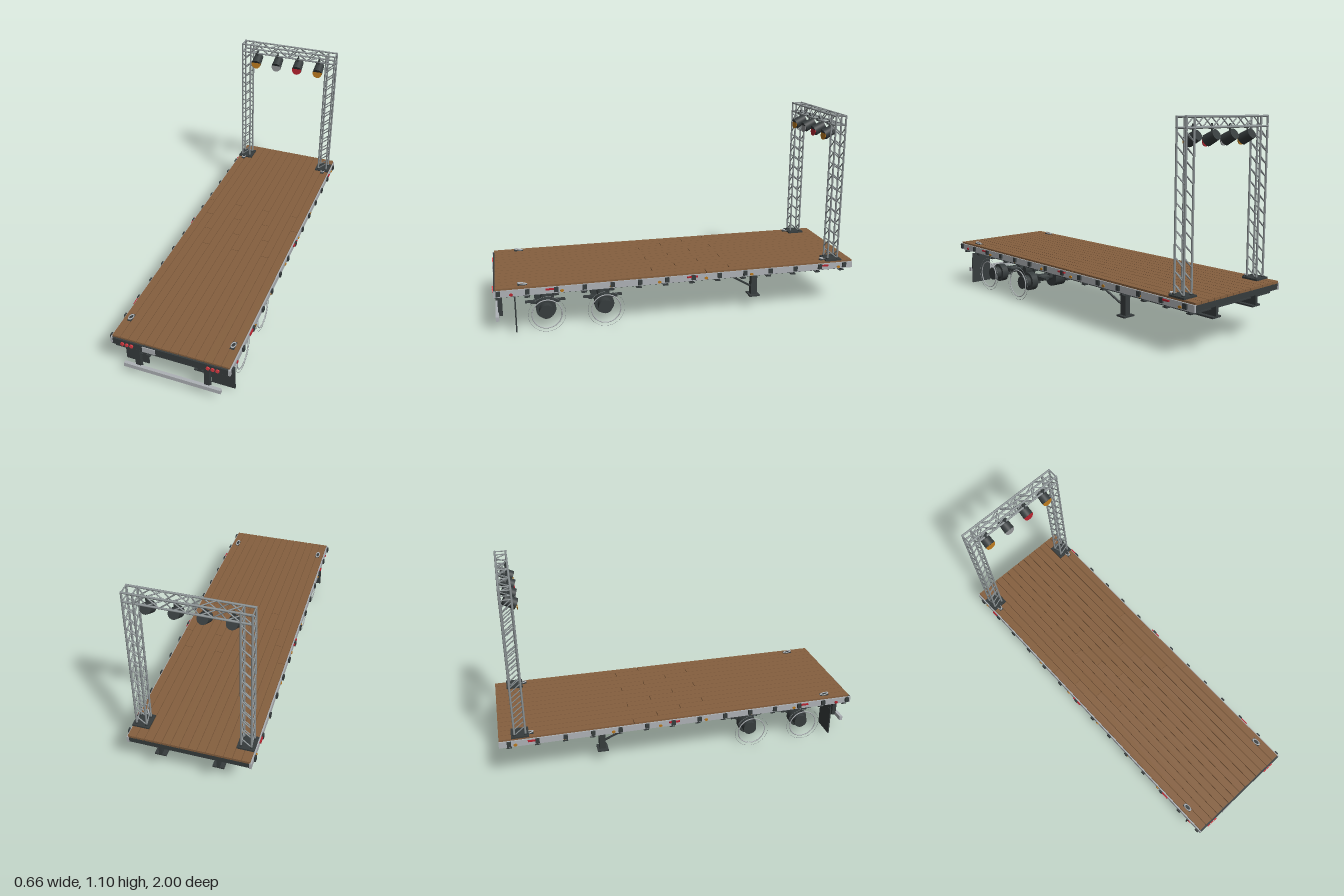
import * as THREE from 'three';

const mat = (name, color, extra = {}) => Object.assign(new THREE.MeshStandardMaterial({ color, ...extra }), { name });

export function createModel() {
  const M = {
    wood: mat('deck wood', 0x86603f),
    dark: mat('dark steel', 0x363c3d),
    silver: mat('rail aluminium', 0xaeb2b6),
    truss: mat('truss metal', 0x8d9496),
    red: mat('red lamp', 0xb4222e),
    tail: mat('tail light red', 0xdb3c44),
    amber: mat('amber lamp', 0xb8781e),
    clear: mat('clear lens', 0x8f9193),
  };
  const root = new THREE.Group();
  root.name = 'stageTrailer';
  const group = (name, parent = root) => {
    const g = new THREE.Group();
    g.name = name;
    parent.add(g);
    return g;
  };
  const add = (parent, name, geo, m, x = 0, y = 0, z = 0) => {
    const mesh = new THREE.Mesh(geo, m);
    mesh.name = name;
    mesh.position.set(x, y, z);
    parent.add(mesh);
    return mesh;
  };
  // box from min/max ranges
  const box = (p, name, m, x0, x1, y0, y1, z0, z1) => add(p, name,
    new THREE.BoxGeometry(x1 - x0, y1 - y0, z1 - z0), m, (x0 + x1) / 2, (y0 + y1) / 2, (z0 + z1) / 2);
  // round bar between two points
  const bar = (p, name, m, a, b, r, n = 8) => {
    const A = new THREE.Vector3(...a), B = new THREE.Vector3(...b);
    const d = B.clone().sub(A);
    const mesh = add(p, name, new THREE.CylinderGeometry(r, r, d.length(), n), m);
    mesh.position.copy(A).add(B).multiplyScalar(0.5);
    mesh.quaternion.setFromUnitVectors(new THREE.Vector3(0, 1, 0), d.normalize());
    return mesh;
  };
  const sides = [-1, 1];

  // Plank deck with staggered butt joints
  const deck = group('deck');
  const N = 14, W = 0.63 / N, gap = 0.0015;
  for (let i = 0; i < N; i++) {
    const x = -0.315 + i * W, joint = -0.28 + 0.142 * (i % 4);
    box(deck, 'plank', M.wood, x + gap, x + W - gap, 0.262, 0.275, -0.998, joint - gap);
    box(deck, 'plank', M.wood, x + gap, x + W - gap, 0.262, 0.275, joint + gap, 0.985);
  }
  box(deck, 'underlay', M.wood, -0.312, 0.312, 0.25, 0.26, -0.99, 0.98);

  // Chassis: I-beams, crossmembers, side rails
  const chassis = group('chassis');
  const stations = Array.from({ length: 14 }, (_, i) => 0.97 - 0.1475 * i);
  for (const s of sides) {
    const x = s * 0.15;
    box(chassis, 'beamWeb', M.dark, x - 0.008, x + 0.008, 0.18, 0.245, -0.99, 0.97);
    box(chassis, 'beamFlange', M.dark, x - 0.03, x + 0.03, 0.172, 0.18, -0.99, 0.97);
    box(chassis, 'beamFlange', M.dark, x - 0.03, x + 0.03, 0.24, 0.248, -0.99, 0.97);
    const r = s * 0.315;
    box(chassis, 'sideRail', M.silver, r - 0.006, r + 0.006, 0.23, 0.265, -1, 0.995);
    for (const z of stations) {
      box(chassis, 'stakePocket', M.dark, s * 0.324 - 0.007, s * 0.324 + 0.007, 0.238, 0.264, z - 0.011, z + 0.011);
    }
    // side markers
    for (let i = 0; i < 8; i++) {
      const m = add(chassis, 'sideMarker', new THREE.CylinderGeometry(0.007, 0.007, 0.006, 14), i ? M.amber : M.red, s * 0.323, 0.241, 0.905 - 0.26 * i);
      m.rotation.z = Math.PI / 2;
      m.scale.z = 1.4;
    }
    for (const z of [0.7, -0.057, -0.82]) {
      box(chassis, 'redStrap', M.red, s * 0.324 - 0.005, s * 0.324 + 0.005, 0.251, 0.259, z - 0.03, z + 0.03);
    }
  }
  for (const z of stations) {
    box(chassis, 'crossmember', M.dark, -0.3, 0.3, 0.21, 0.246, z - 0.005, z + 0.005);
    box(chassis, 'crossmemberFlange', M.dark, -0.3, 0.3, 0.208, 0.214, z - 0.014, z + 0.014);
  }
  box(chassis, 'noseBeam', M.dark, -0.309, 0.309, 0.232, 0.262, -0.997, -0.98);

  // Tail: rear beam, lights, plate, bumper, mud flaps
  const tail = group('tail');
  box(tail, 'rearBeam', M.dark, -0.315, 0.315, 0.227, 0.265, 0.975, 0.994);
  box(tail, 'plate', M.silver, -0.145, -0.075, 0.229, 0.262, 0.994, 0.998);
  for (const s of sides) {
    for (const x of [0.205, 0.23, 0.255]) {
      const l = add(tail, 'tailLight', new THREE.CylinderGeometry(0.01, 0.01, 0.006, 20), M.tail, s * x, 0.243, 0.997);
      l.rotation.x = Math.PI / 2;
    }
    box(tail, 'bumperPost', M.dark, s * 0.188 - 0.014, s * 0.188 + 0.014, 0.078, 0.23, 0.953, 0.977);
    box(tail, 'mudFlap', M.dark, s * 0.24 - 0.065, s * 0.24 + 0.065, 0.022, 0.184, 0.883, 0.89);
    box(tail, 'flapHanger', M.dark, s * 0.24 - 0.06, s * 0.24 + 0.06, 0.184, 0.212, 0.884, 0.89);
  }
  box(tail, 'bumper', M.silver, -0.265, 0.265, 0.074, 0.098, 0.972, 0.99);

  // Axles with hubs, leaf springs and thin wheel rings
  for (const z of [0.725, 0.41]) {
    const axle = group('axle');
    axle.position.set(0, 0.1, z);
    bar(axle, 'axleTube', M.dark, [-0.18, 0.008, 0], [0.18, 0.008, 0], 0.022, 20);
    bar(axle, 'centreDrum', M.dark, [-0.04, 0, 0], [0.04, 0, 0], 0.055, 28);
    for (const s of sides) {
      bar(axle, 'hub', M.dark, [s * 0.18, 0, 0], [s * 0.26, 0, 0], 0.038, 24);
      bar(axle, 'brakeDrum', M.dark, [s * 0.175, 0, 0], [s * 0.215, 0, 0], 0.054, 28);
      const ring = (name, r, t, m) => {
        add(axle, name, new THREE.TorusGeometry(r, t, 6, 48), m, s * 0.285).rotation.y = Math.PI / 2;
      };
      ring('tyreEdge', 0.0985, 0.0008, M.truss);
      ring('wheelRim', 0.079, 0.003, M.silver);
      // leaf spring stack
      [0.108, 0.08, 0.05].forEach((h, i) => {
        box(axle, 'springLeaf', M.dark, s * 0.145 - 0.011, s * 0.145 + 0.011, 0.018 - i * 0.008, 0.026 - i * 0.008, -h, h);
      });
      box(axle, 'springClamp', M.dark, s * 0.145 - 0.014, s * 0.145 + 0.014, -0.02, 0.032, -0.02, 0.02);
    }
  }

  // Landing legs
  for (const s of sides) {
    const leg = group('landingLeg');
    const x = s * 0.215;
    box(leg, 'post', M.dark, x - 0.017, x + 0.017, 0.08, 0.24, -0.463, -0.428);
    box(leg, 'foot', M.dark, x - 0.035, x + 0.035, 0.074, 0.082, -0.475, -0.415);
    bar(leg, 'brace', M.dark, [s * 0.25, 0.212, -0.3], [x, 0.125, -0.435], 0.006);
    bar(leg, 'crossBrace', M.dark, [s * 0.15, 0.185, -0.445], [x, 0.2, -0.445], 0.008);
  }

  // Deck tie-down rings
  const link = new THREE.TorusGeometry(0.012, 0.003, 8, 20);
  for (const s of sides) for (const z of [0.845, -0.84]) {
    const t = group('tieDown');
    t.position.set(s * 0.28, 0.276, z);
    box(t, 'tieBase', M.dark, -0.011, 0.011, -0.001, 0.003, -0.025, 0.025);
    const r = add(t, 'tieRing', link, M.silver, 0, 0.006, 0);
    r.rotation.x = Math.PI / 2 - 0.2;
    r.scale.set(0.9, 1.8, 1);
  }

  // Lighting gantry: two lattice towers and a top span
  const gantry = group('gantry');
  const zF = -0.857, zB = -0.915, xi = 0.245, xo = 0.298, R = 0.0055, r = 0.0033;
  const y0 = 0.285, y1 = 1.045, yT = 1.094, bays = 12, dy = (y1 - y0) / bays;
  for (const s of sides) {
    const tower = group('tower', gantry);
    const xm = s * 0.2715, xa = Math.min(s * xi, s * xo), xb = Math.max(s * xi, s * xo);
    box(tower, 'basePlate', M.dark, xm - 0.045, xm + 0.045, 0.275, 0.284, -0.933, -0.84);
    for (const x of [xa, xb]) for (const z of [zF, zB]) {
      bar(tower, 'chord', M.truss, [x, 0.28, z], [x, yT + 0.004, z], R);
      bar(tower, 'socket', M.dark, [x, 0.28, z], [x, 0.29, z], 0.009);
    }
    for (let i = 0; i < bays; i++) {
      const a = y0 + i * dy, b = a + dy * 0.75;
      for (const z of [zF, zB]) bar(tower, 'lacing', M.truss, [xa, a, z], [xb, b, z], r, 6);
      for (const x of [xa, xb]) bar(tower, 'lacing', M.truss, [x, a, zB], [x, b, zF], r, 6);
    }
  }
  const span = group('topSpan', gantry);
  for (const y of [y1, yT]) {
    for (const z of [zF, zB]) bar(span, 'chord', M.truss, [-0.302, y, z], [0.302, y, z], R);
    for (const x of [-xo, -xi, 0, xi, xo]) bar(span, 'spreader', M.truss, [x, y, zB], [x, y, zF], r, 6);
  }
  const n = 8, step = 2 * xi / n;
  for (let i = 0; i < n; i++) {
    const x = -xi + i * step, up = i % 2 === 0;
    const a = up ? y1 : yT, b = up ? yT : y1;
    for (const z of [zF, zB]) bar(span, 'lacing', M.truss, [x, a, z], [x + step, b, z], r, 6);
    for (const y of [y1, yT]) bar(span, 'lacing', M.truss, [x, y, up ? zF : zB], [x + step, y, up ? zB : zF], r, 6);
  }

  // Stage lamps, tipped down and forward
  [M.amber, M.clear, M.red, M.amber].forEach((m, i) => {
    const lamp = group('stageLamp', gantry);
    lamp.position.set(-0.2 + i * 0.1333, 0.996, -0.866);
    const can = add(lamp, 'can', new THREE.CylinderGeometry(0.03, 0.027, 0.066, 28), M.dark);
    can.rotation.x = Math.PI / 2 + 0.47;
    const lens = add(lamp, 'lens', new THREE.CylinderGeometry(0.029, 0.029, 0.005, 28), m, 0, -0.014, 0.032);
    lens.rotation.x = Math.PI / 2 - 0.1;
    bar(lamp, 'hanger', M.dark, [0, 0.015, 0], [0, 0.066, 0], 0.004);
    box(lamp, 'clamp', M.dark, -0.006, 0.006, 0.04, 0.056, -0.006, 0.014);
  });

  return root;
}
